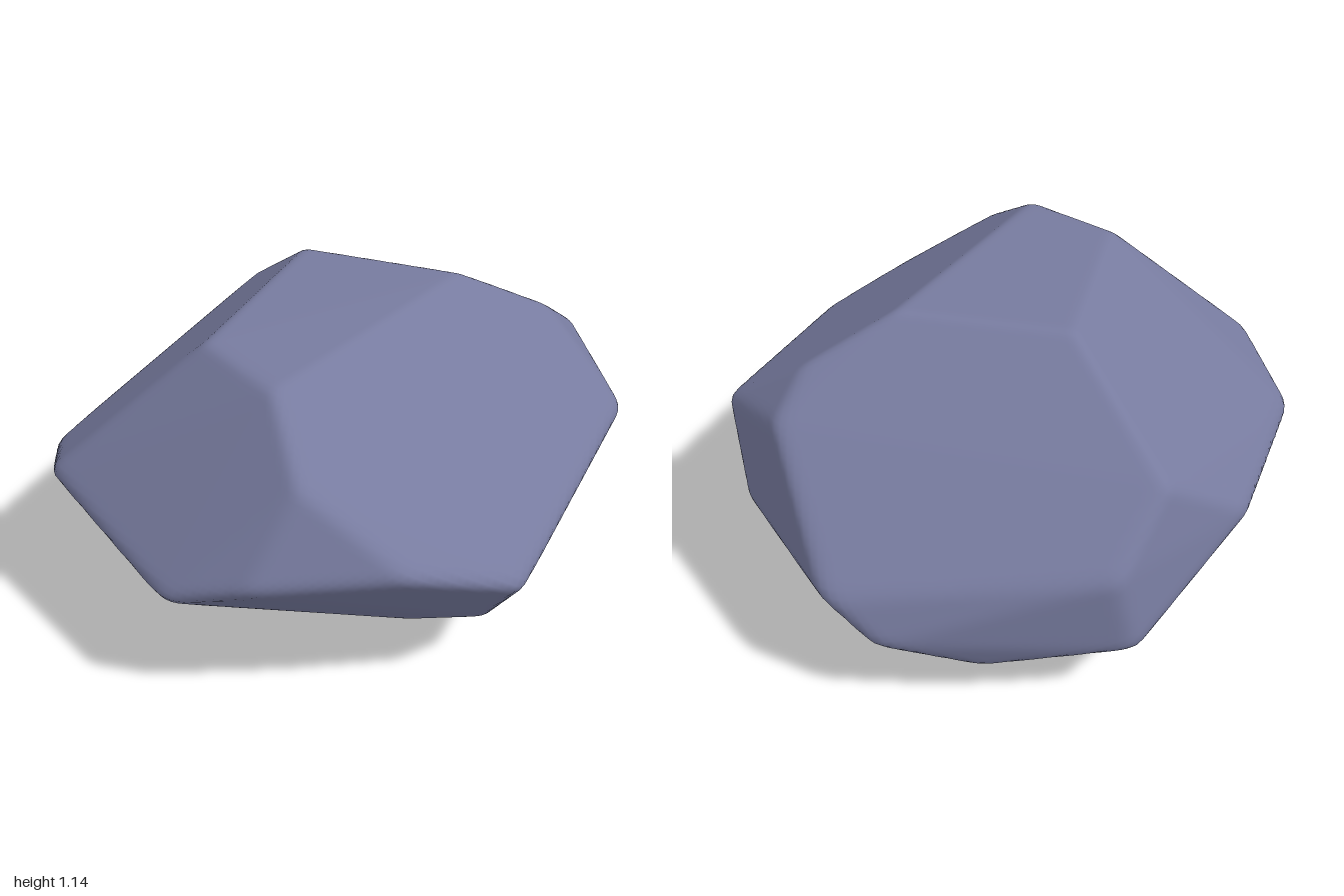
import * as THREE from 'three';
import { mergeVertices } from 'three/addons/utils/BufferGeometryUtils.js';
import { ConvexGeometry } from 'three/addons/geometries/ConvexGeometry.js';

const stone = new THREE.MeshStandardMaterial({ color: 0x777b9f });
stone.name = 'slate blue stone';

// Corners of the faceted boulder
const upperCorners = [
  [-0.55, 1.10, -0.07], [0.07, 1.13, -0.40], [0.38, 1.14, 0.10], [-0.53, 1.09, 0.30],
  [0.17, 0.82, -0.87], [0.65, 1.00, 0.25], [0.82, 0.87, 0.22], [-0.62, 0.91, 0.56],
];
const girdleCorners = [
  [-1.01, 0.60, -0.40], [-0.855, 0.48, -0.71], [-0.18, 0.56, -0.975], [0.42, 0.60, -0.89],
  [1.015, 0.49, -0.18], [0.95, 0.34, -0.34], [0.71, 0.73, 0.61], [0.82, 0.45, 0.42],
  [-0.08, 0.54, 0.985], [-0.41, 0.65, 0.87], [-0.83, 0.60, 0.56], [-0.985, 0.49, 0.32],
];
const lowerCorners = [
  [0.38, 0.30, -0.94], [0.69, 0.20, -0.56], [-0.09, 0.08, -0.74], [-0.75, 0.25, -0.54],
  [-0.64, 0.19, -0.04], [0.40, -0.01, -0.08], [0.67, 0.11, 0.10], [0.57, 0.17, 0.36],
  [0.00, 0.22, 0.74], [-0.14, 0.12, 0.51],
];
const MIDDLE = new THREE.Vector3(0, 0.56, 0);

// Facet planes, each stored as outward normal / distance from the middle
function facetPlanes(corners) {
  const pos = new ConvexGeometry(corners).attributes.position;
  const tri = new THREE.Triangle();
  const planes = [];
  for (let i = 0; i < pos.count; i += 3) {
    tri.setFromAttributeAndIndices(pos, i, i + 1, i + 2);
    if (tri.getArea() < 1e-5) continue;
    const n = tri.getNormal(new THREE.Vector3());
    planes.push(n.divideScalar(n.dot(tri.a)));
  }
  return planes;
}

// Sphere pushed onto the facets, with the edges softened by averaging nearby directions
function boulderGeometry() {
  const corners = [...upperCorners, ...girdleCorners, ...lowerCorners]
    .map((c) => new THREE.Vector3(...c).sub(MIDDLE));
  const planes = facetPlanes(corners);
  const inverseRadius = (d) => {
    let m = 0;
    for (const p of planes) m = Math.max(m, p.dot(d));
    return m;
  };

  let geo = new THREE.IcosahedronGeometry(1, 44);
  geo.deleteAttribute('normal');
  geo.deleteAttribute('uv');
  geo = mergeVertices(geo, 1e-5);

  const pos = geo.attributes.position;
  const d = new THREE.Vector3(), u = new THREE.Vector3(), v = new THREE.Vector3(), s = new THREE.Vector3();
  const SPREAD = 0.035, RING = 10;
  for (let i = 0; i < pos.count; i++) {
    d.fromBufferAttribute(pos, i).normalize();
    u.set(0, 0, 1);
    if (Math.abs(d.z) > 0.8) u.set(1, 0, 0);
    u.cross(d).normalize();
    v.crossVectors(d, u);
    let sum = inverseRadius(d);
    for (let k = 0; k < RING; k++) {
      const a = (k / RING) * Math.PI * 2;
      const reach = k % 2 ? SPREAD : SPREAD * 0.6;
      s.copy(d).addScaledVector(u, Math.cos(a) * reach).addScaledVector(v, Math.sin(a) * reach);
      sum += inverseRadius(s);
    }
    d.multiplyScalar((RING + 1) / sum);
    pos.setXYZ(i, d.x, d.y, d.z);
  }

  // Centre it and rest it on the ground
  geo.computeBoundingBox();
  const c = geo.boundingBox.getCenter(new THREE.Vector3());
  geo.translate(-c.x, -geo.boundingBox.min.y, -c.z);
  geo.computeVertexNormals();
  return geo;
}

export function createModel() {
  const group = new THREE.Group();
  group.name = 'rock';
  const boulder = new THREE.Mesh(boulderGeometry(), stone);
  boulder.name = 'boulder';
  group.add(boulder);
  return group;
}
